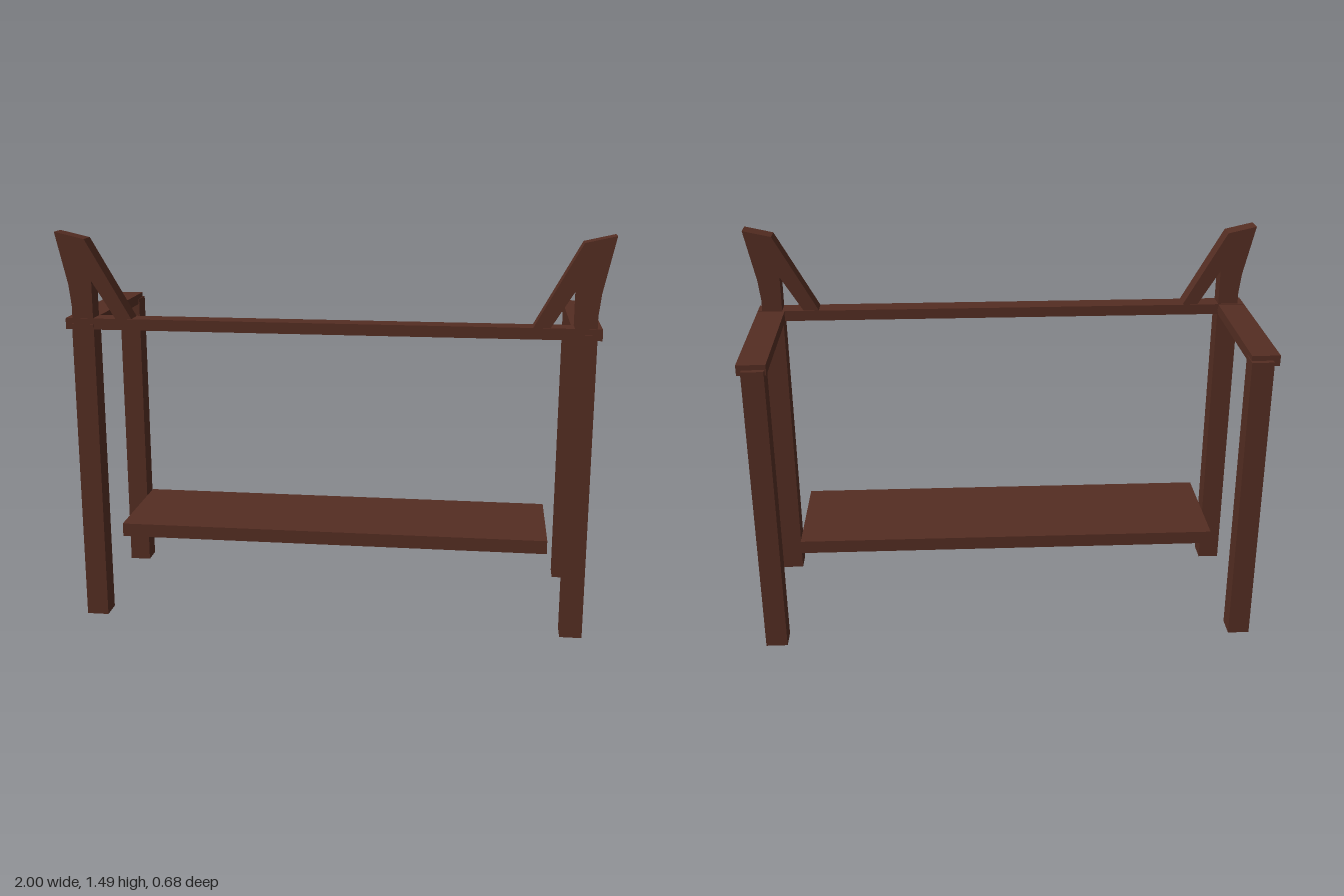
import * as THREE from 'three';

export function createModel() {
  const model = new THREE.Group();
  const wood = new THREE.MeshStandardMaterial({ color: 0x542d22 });
  wood.name = 'darkWood';

  const add = (name, geometry) => {
    const mesh = new THREE.Mesh(geometry, wood);
    mesh.name = name;
    model.add(mesh);
  };
  // Box given by its extents on each axis
  const box = (name, [x0, x1], [y0, y1], [z0, z1]) =>
    add(name, new THREE.BoxGeometry(x1 - x0, y1 - y0, z1 - z0)
      .translate((x0 + x1) / 2, (y0 + y1) / 2, (z0 + z1) / 2));

  // Flared horn with a diagonal brace, standing on the front rail
  const horn = (name, side, lift) => {
    const outline = [
      [0.948, 1.15], [0.948, 1.21], [0.957, 1.29], [1.0, 1.48 + lift],
      [0.89, 1.455 + lift], [0.717, 1.15], [0.776, 1.15], [0.87, 1.303], [0.87, 1.15],
    ].map(([x, y]) => new THREE.Vector2(side * x, y));
    add(name, new THREE.ExtrudeGeometry(new THREE.Shape(outline), { depth: 0.07, bevelEnabled: false })
      .translate(0, 0, 0.263));
  };

  for (const [label, side] of [['left', 1], ['right', -1]]) {
    const span = (a, b) => (side > 0 ? [a, b] : [-b, -a]);
    // Square legs
    box(label + 'FrontLeg', span(0.867, 0.949), [0, 1.145], [0.256, 0.339]);
    box(label + 'BackLeg', span(0.867, 0.949), [0, 1.145], [-0.339, -0.256]);
    // Rail running back along the side
    box(label + 'SideRail', side > 0 ? [0.861, 0.967] : [-0.974, -0.87], [1.124, 1.164], [-0.319, 0.334]);
    horn(label + 'Horn', side, side > 0 ? 0.01 : 0);
  }

  // Long front rail and low shelf
  box('frontRail', [-0.972, 0.966], [1.125, 1.166], [0.258, 0.336]);
  box('shelf', [-0.811, 0.811], [0.304, 0.355], [-0.154, 0.28]);

  return model;
}
